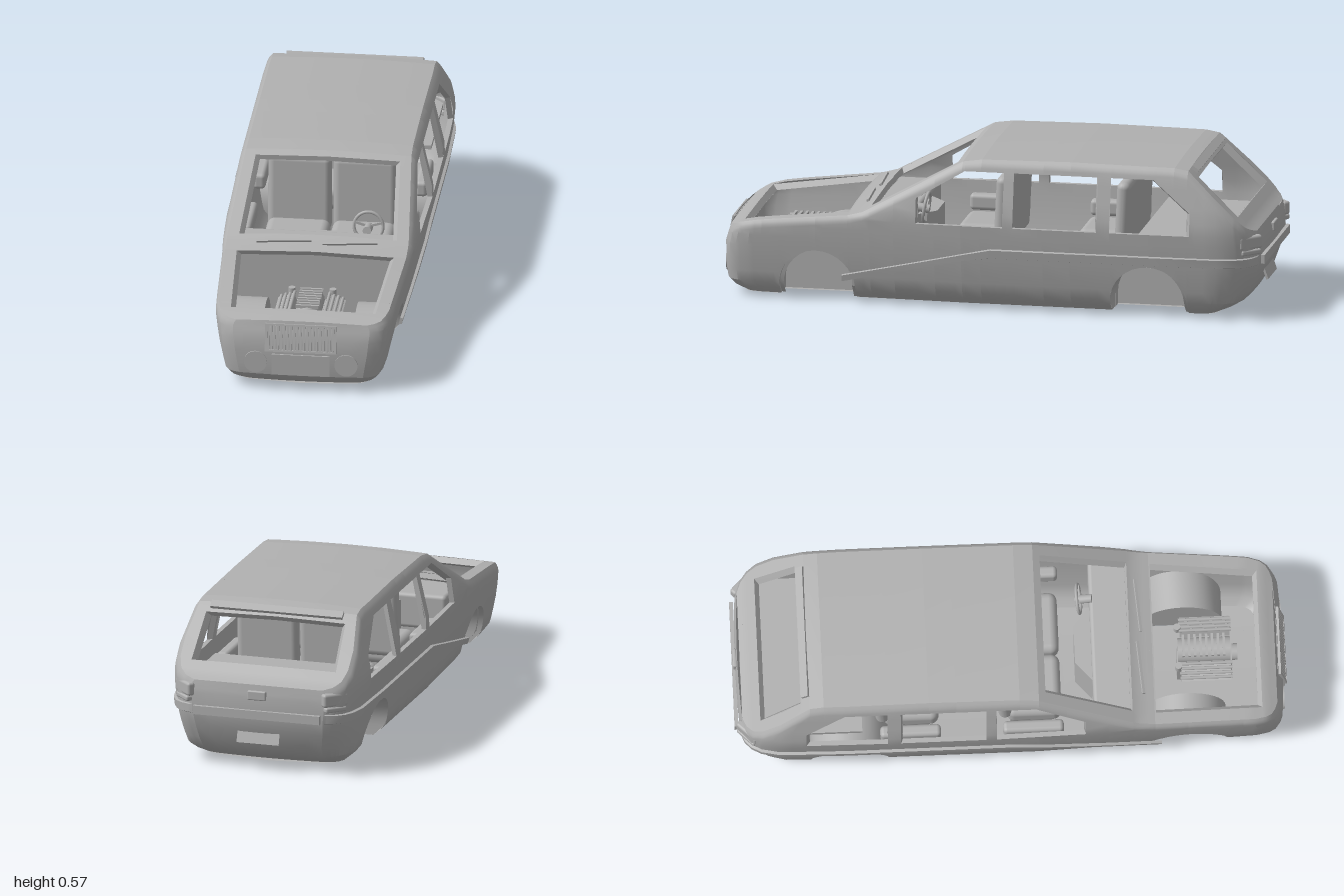
import * as THREE from 'three';
import { toCreasedNormals } from 'three/addons/utils/BufferGeometryUtils.js';
import { RoundedBoxGeometry } from 'three/addons/geometries/RoundedBoxGeometry.js';

const V = (x, y, z) => new THREE.Vector3(x, y, z);
const clamp = THREE.MathUtils.clamp;

// Piecewise linear curve through [t, value] pairs with rising t
function curve(pts) {
  return t => {
    if (t <= pts[0][0]) return pts[0][1];
    for (let i = 1; i < pts.length; i++) {
      const [a, u] = pts[i - 1], [b, v] = pts[i];
      if (t <= b) return u + (v - u) * (t - a) / (b - a);
    }
    return pts[pts.length - 1][1];
  };
}

// Body rules: cross-section, plan outline, top line and the two end profiles
const section = curve([[0.012, 0.27], [0.035, 0.297], [0.06, 0.317], [0.15, 0.338], [0.24, 0.352], [0.33, 0.361], [0.36, 0.358], [0.55, 0.314], [0.57, 0.31]]);
const plan = curve([[-1, 0.25], [-0.985, 0.285], [-0.96, 0.312], [-0.92, 0.332], [-0.85, 0.346], [-0.6, 0.352], [0.1, 0.352], [0.5, 0.336], [0.9, 0.32], [0.95, 0.31], [0.975, 0.297], [0.99, 0.277], [1, 0.25]]);
const top = curve([[-1, 0.325], [-0.97, 0.345], [-0.73, 0.548], [-0.68, 0.557], [-0.3, 0.561], [0.03, 0.556], [0.1, 0.546], [0.465, 0.347], [0.52, 0.332], [0.88, 0.294], [0.95, 0.281], [1, 0.262]]);
const frontEnd = curve([[0.012, 0.92], [0.035, 0.96], [0.06, 0.98], [0.1, 0.985], [0.2, 0.985], [0.265, 0.965]]);
const rearEnd = curve([[0.012, 0.83], [0.035, 0.88], [0.06, 0.92], [0.1, 0.945], [0.2, 0.98], [0.28, 0.98], [0.34, 0.97]]);
const crown = curve([[-1, 0], [-0.7, 0.008], [0.1, 0.008], [0.5, 0.012], [1, 0.004]]);
const BELT = 0.318, BOTTOM = 0.012, WELL = 0.165, SKIN = 0.018, EDGE = 0.87;

const arches = [0.64, -0.585];
const R = 0.141;
const archAt = z => arches.find(c => Math.abs(z - c) < R);
const sill = z => {
  const c = archAt(z);
  return c === undefined ? BOTTOM : 0.052 + Math.sqrt(R * R - (z - c) ** 2);
};
const windows = [
  [[0.267, BELT], [0.267, 0.41], [0.09, 0.515], [-0.055, 0.515], [-0.055, BELT]],
  [[-0.092, BELT], [-0.092, 0.515], [-0.402, 0.515], [-0.402, BELT]],
  [[-0.45, BELT], [-0.45, 0.515], [-0.605, 0.515], [-0.745, 0.4], [-0.745, BELT]],
];
const windowTops = windows.map(w => curve(w.slice(1, -1).reverse()));
const windowAt = z => windows.findIndex(w => z < w[0][0] && z > w[w.length - 1][0]);
const holes = [[0.125, 0.44], [0.525, 0.935], [-0.93, -0.765]];

function width(z, y) {
  const d = top(z) - y;
  const round = d < 0.03 ? 0.014 * ((0.03 - d) / 0.03) ** 2 : 0;
  return section(y) * plan(z) / 0.352 - round;
}
function warp(z, y) {
  if (z > 0.79) return 0.79 + (z - 0.79) * (frontEnd(y) - 0.79) / 0.21;
  if (z < -0.74) return -0.74 + (z + 0.74) * (rearEnd(y) - 0.74) / 0.26;
  return z;
}
const sidePoint = (s, z, y, d = 0) => V(s * (width(z, y) - d), y, warp(z, y) * (1 - d));
const topPoint = (f, z, d = 0) => {
  const y = top(z);
  return V(f * (width(z, y) - d), y + crown(z) * (1 - f * f) - d, warp(z, y) * (1 - d));
};

// Stations along the body, including every edge of an opening
const zs = [-1, -0.99, -0.985, -0.97, -0.96, -0.94, -0.92, -0.88, -0.85, -0.8, -0.73, -0.68, -0.3, -0.2, 0.03, 0.1, 0.2, 0.35, 0.465, 0.52, 0.8, 0.85, 0.88, 0.9, 0.95, 0.975, 0.99, 1,
  ...windows.flat().map(p => p[0]), ...holes.flat()];
for (const c of arches) for (let i = 0; i <= 16; i++) zs.push(c - R * Math.cos(Math.PI * i / 16));
const stations = [...new Set(zs)].sort((a, b) => a - b);
const rows = [0.012, 0.035, 0.06, 0.1, 0.15, 0.2, 0.24, 0.28, BELT, 0.36, 0.42, 0.48, 0.53];
const rowsAt = (z, lo, hi) => [...rows.map(r => Math.min(r, top(z) - 0.03)), top(z) - 0.03, top(z) - 0.02, top(z) - 0.01, top(z)].map(y => clamp(y, lo, hi));

function surface(build) {
  const p = [];
  const tri = (a, b, c) => {
    if (b.clone().sub(a).cross(c.clone().sub(a)).length() > 1e-9) for (const v of [a, b, c]) p.push(v.x, v.y, v.z);
  };
  build((a, b, c, d) => { tri(a, b, c); tri(a, c, d); });
  const g = new THREE.BufferGeometry();
  g.setAttribute('position', new THREE.Float32BufferAttribute(p, 3));
  return toCreasedNormals(g, 0.5);
}
// Calls fn for each pair of neighbouring stations
const eachBay = fn => { for (let i = 1; i < stations.length; i++) fn(stations[i - 1] + 1e-6, stations[i] - 1e-6); };

export function createModel() {
  const grey = new THREE.MeshStandardMaterial({ color: 0xb0b0b0, side: THREE.DoubleSide });
  grey.name = 'grey';
  const car = new THREE.Group();
  car.name = 'carBody';
  const add = (name, geo, x = 0, y = 0, z = 0, rx = 0, ry = 0, rz = 0) => {
    const m = new THREE.Mesh(geo, grey);
    m.name = name;
    m.position.set(x, y, z);
    m.rotation.set(rx, ry, rz);
    car.add(m);
    return m;
  };
  const box = (w, h, d) => new THREE.BoxGeometry(w, h, d);
  const soft = (w, h, d, r) => new RoundedBoxGeometry(w, h, d, 3, r);

  for (const s of [1, -1]) {
    // Side skins, outer and inner, with window openings and wheel arches
    for (const d of [0, SKIN]) add(d ? 'sideLining' : 'sidePanel', surface(quad => eachBay((a, b) => {
      const w = windowAt((a + b) / 2);
      const spans = w < 0 ? [[sill, top]] : [[sill, () => BELT], [windowTops[w], top]];
      for (const [lo, hi] of spans) {
        const ya = rowsAt(a, lo(a), hi(a)), yb = rowsAt(b, lo(b), hi(b));
        for (let j = 1; j < ya.length; j++) quad(sidePoint(s, a, ya[j - 1], d), sidePoint(s, b, yb[j - 1], d), sidePoint(s, b, yb[j], d), sidePoint(s, a, ya[j], d));
      }
    })));
    // Window reveals
    add('windowFrames', surface(quad => windows.forEach(w => w.forEach((p, i) => {
      const q = w[(i + 1) % w.length];
      quad(sidePoint(s, ...p), sidePoint(s, ...q), sidePoint(s, ...q, SKIN), sidePoint(s, ...p, SKIN));
    }))));
    // Wheel wells: curved housing and inner wall
    add('wheelWells', surface(quad => {
      for (const c of arches) {
        const path = [[c - R, BOTTOM]];
        for (let i = 0; i <= 16; i++) {
          const t = Math.PI * i / 16;
          path.push([c - R * Math.cos(t), 0.052 + R * Math.sin(t)]);
        }
        path.push([c + R, BOTTOM]);
        for (let i = 1; i < path.length; i++) {
          const [z0, y0] = path[i - 1], [z1, y1] = path[i], x = s * WELL;
          quad(sidePoint(s, z0, y0), sidePoint(s, z1, y1), V(x, y1, z1), V(x, y0, z0));
          quad(V(x, BOTTOM, z0), V(x, BOTTOM, z1), V(x, y1, z1), V(x, y0, z0));
        }
      }
    }));
    // Side moulding: a slanted front run, then level to the tail
    add('sideMoulding', surface(quad => {
      const path = [[0.545, 0.093], [0.4, 0.127], [0.25, 0.162], [0.09, 0.2], [-0.01, 0.218], [-0.3, 0.218], [-0.6, 0.218], [-0.85, 0.218], [-0.92, 0.218], [-0.96, 0.218], [-0.985, 0.218], [-1, 0.218]];
      const ring = path.map(([z, y], i) => [[0, 0.018], [0.011, 0.015], [0.011, -0.015], [0, -0.018]].map(([o, h]) => {
        const k = i < 4 ? 0.75 : 1;
        const p = sidePoint(s, z, y + h * k);
        p.x += s * o;
        return p;
      }));
      for (let i = 1; i < ring.length; i++) for (let j = 1; j < 4; j++) quad(ring[i - 1][j - 1], ring[i][j - 1], ring[i][j], ring[i - 1][j]);
      quad(...ring[0]);
    }));
  }

  // Roof, window surrounds, cowl and the rim of the open engine bay
  for (const d of [0, SKIN]) add(d ? 'roofLining' : 'roofAndRims', surface(quad => eachBay((a, b) => {
    const m = (a + b) / 2, open = holes.some(h => m > h[0] && m < h[1]);
    const fs = [-1, -EDGE, -0.45, 0, 0.45, EDGE, 1];
    for (let i = 1; i < fs.length; i++) {
      if (open && Math.abs(fs[i - 1] + fs[i]) / 2 < EDGE) continue;
      quad(topPoint(fs[i - 1], a, d), topPoint(fs[i], a, d), topPoint(fs[i], b, d), topPoint(fs[i - 1], b, d));
    }
  })));
  add('openingReveals', surface(quad => holes.forEach(([a, b]) => {
    const loop = [[-EDGE, a], [0, a], [EDGE, a], [EDGE, b], [0, b], [-EDGE, b]];
    loop.forEach((p, i) => {
      const q = loop[(i + 1) % 6];
      quad(topPoint(...p), topPoint(...q), topPoint(...q, SKIN), topPoint(...p, SKIN));
    });
  })));

  // Nose and tail
  for (const e of [1, -1]) for (const d of [0, SKIN]) add(e > 0 ? 'nose' : 'tail', surface(quad => {
    const ys = rowsAt(e, BOTTOM, top(e));
    const at = (f, y) => {
      const p = sidePoint(1, e, y, d);
      return V(p.x * f, y + (y === top(e) ? crown(e) * (1 - f * f) : 0), p.z + e * 0.009 * (1 - f * f));
    };
    for (let j = 1; j < ys.length; j++) for (let f = -1; f < 1; f += 0.25) quad(at(f, ys[j - 1]), at(f + 0.25, ys[j - 1]), at(f + 0.25, ys[j]), at(f, ys[j]));
  }));

  // Underside with cut-outs for the wheels
  add('floor', surface(quad => eachBay((a, b) => {
    const at = (x, z) => V(x, BOTTOM * (Math.abs(x) / 0.27), warp(z, BOTTOM));
    const xs = z => [-width(z, BOTTOM), -WELL, 0, WELL, width(z, BOTTOM)];
    const xa = xs(a), xb = xs(b), cut = archAt((a + b) / 2) !== undefined;
    for (let i = 1; i < 5; i++) if (!cut || i === 2 || i === 3) quad(at(xa[i - 1], a), at(xa[i], a), at(xb[i], b), at(xb[i - 1], b));
  })));

  // Firewall, dashboard, console and parcel shelf
  const wall = new THREE.Shape([[-0.25, 0.012], [0.25, 0.012], [0.29, 0.06], [0.315, 0.25], [0.3, 0.328], [-0.3, 0.328], [-0.315, 0.25], [-0.29, 0.06]].map(p => new THREE.Vector2(...p)));
  add('firewall', new THREE.ExtrudeGeometry(wall, { depth: 0.012, bevelEnabled: false }), 0, 0, 0.5);
  add('dashboard', soft(0.62, 0.13, 0.19, 0.015), 0, 0.262, 0.395);
  const console = new THREE.Shape([[-0.14, 0], [0.14, 0], [0.07, -0.06], [-0.07, -0.06]].map(p => new THREE.Vector2(...p)));
  add('centreConsole', new THREE.ExtrudeGeometry(console, { depth: 0.2, bevelEnabled: false }), 0, 0.3, 0.3, Math.PI / 2);
  add('parcelShelf', box(0.6, 0.015, 0.4), 0, 0.29, -0.74);

  // Steering wheel
  add('steeringWheel', new THREE.TorusGeometry(0.053, 0.006, 8, 32), 0.163, 0.335, 0.262, -0.15);
  add('steeringHub', new THREE.CylinderGeometry(0.016, 0.016, 0.06, 16), 0.163, 0.332, 0.28, Math.PI / 2 - 0.15);
  for (const a of [0.3, Math.PI - 0.3, -Math.PI / 2]) add('steeringSpoke', box(0.05, 0.009, 0.006), 0.163 + 0.027 * Math.cos(a), 0.335 + 0.027 * Math.sin(a), 0.263, 0, 0, a);

  // Two rows of seats
  for (const z of [0, -0.445]) for (const s of [1, -1]) {
    add('seatBack', soft(0.232, 0.29, 0.05, 0.024), s * 0.119, 0.33, z - 0.025, -0.05);
    add('seatCushion', soft(0.232, 0.09, 0.2, 0.03), s * 0.119, 0.19, z + 0.085);
    add('seatBase', box(0.2, 0.14, 0.15), s * 0.119, 0.08, z + 0.075);
    add('armrest', soft(0.045, 0.06, 0.22, 0.015), s * 0.295, 0.25, z + 0.08);
  }

  // Engine with finned covers and pipes
  add('engineBlock', box(0.1, 0.17, 0.2), 0, 0.11, 0.71);
  add('engineTop', new THREE.CylinderGeometry(0.045, 0.045, 0.19, 20), 0, 0.195, 0.71, Math.PI / 2);
  add('enginePulley', new THREE.CylinderGeometry(0.03, 0.03, 0.02, 20), 0, 0.16, 0.82, Math.PI / 2);
  for (let i = 0; i < 8; i++) add('engineFin', box(0.084, 0.012, 0.009), 0, 0.242, 0.635 + i * 0.021);
  for (const s of [1, -1]) {
    add('cylinderBank', box(0.06, 0.07, 0.18), s * 0.083, 0.18, 0.715, 0, 0, -s * 0.35);
    for (let i = 0; i < 4; i++) add('enginePipe', new THREE.CylinderGeometry(0.006, 0.006, 0.19, 8), s * (0.064 + i * 0.016), 0.226 - i * 0.006, 0.715, Math.PI / 2);
    add('filterCap', new THREE.CylinderGeometry(0.013, 0.013, 0.03, 12), s * 0.075, 0.225, 0.615);
    add('lampHousing', box(0.08, 0.06, 0.03), s * 0.165, 0.12, 0.93);
  }

  // Front: grille, lamps and number plate
  const frame = new THREE.Shape([[-0.13, -0.052], [0.13, -0.052], [0.13, 0.052], [-0.13, 0.052]].map(p => new THREE.Vector2(...p)));
  frame.holes.push(new THREE.Path([[-0.122, -0.045], [-0.122, 0.045], [0.122, 0.045], [0.122, -0.045]].map(p => new THREE.Vector2(...p))));
  add('grilleFrame', new THREE.ExtrudeGeometry(frame, { depth: 0.012, bevelEnabled: false }), 0, 0.207, 0.983, -0.2);
  for (let i = 0; i < 21; i++) add('grilleBar', box(0.007, 0.092, 0.008), -0.118 + i * 0.0118, 0.207, 0.99, -0.2);
  add('frontPlate', box(0.21, 0.08, 0.008), 0, 0.105, 0.995);
  for (const s of [1, -1]) add('headlamp', new THREE.CylinderGeometry(0.042, 0.042, 0.014, 32), s * 0.165, 0.11, 0.987, Math.PI / 2);

  // Rear: bumper band, lamps, latch, plate and roof lip
  add('rearBand', box(0.48, 0.032, 0.014), 0, 0.218, -0.993);
  add('rearPlate', box(0.16, 0.065, 0.008), 0, 0.135, -0.968, 0.33);
  add('tailgateLatch', soft(0.07, 0.035, 0.014, 0.005), 0, 0.29, -0.99);
  add('roofLip', box(0.5, 0.012, 0.03), 0, 0.545, -0.745, -0.6);
  for (const s of [1, -1]) {
    add('tailLamp', soft(0.1, 0.05, 0.03, 0.01), s * 0.283, 0.29, -0.952, 0, s * Math.PI * 0.75);
    add('lowerTailLamp', soft(0.085, 0.02, 0.034, 0.007), s * 0.283, 0.255, -0.953, 0, s * Math.PI * 0.75);
    // Wipers at the foot of the windscreen
    add('wiper', box(0.2, 0.008, 0.01), s * 0.12, 0.36, 0.475, 0.4, 0.08);
  }
  return car;
}
